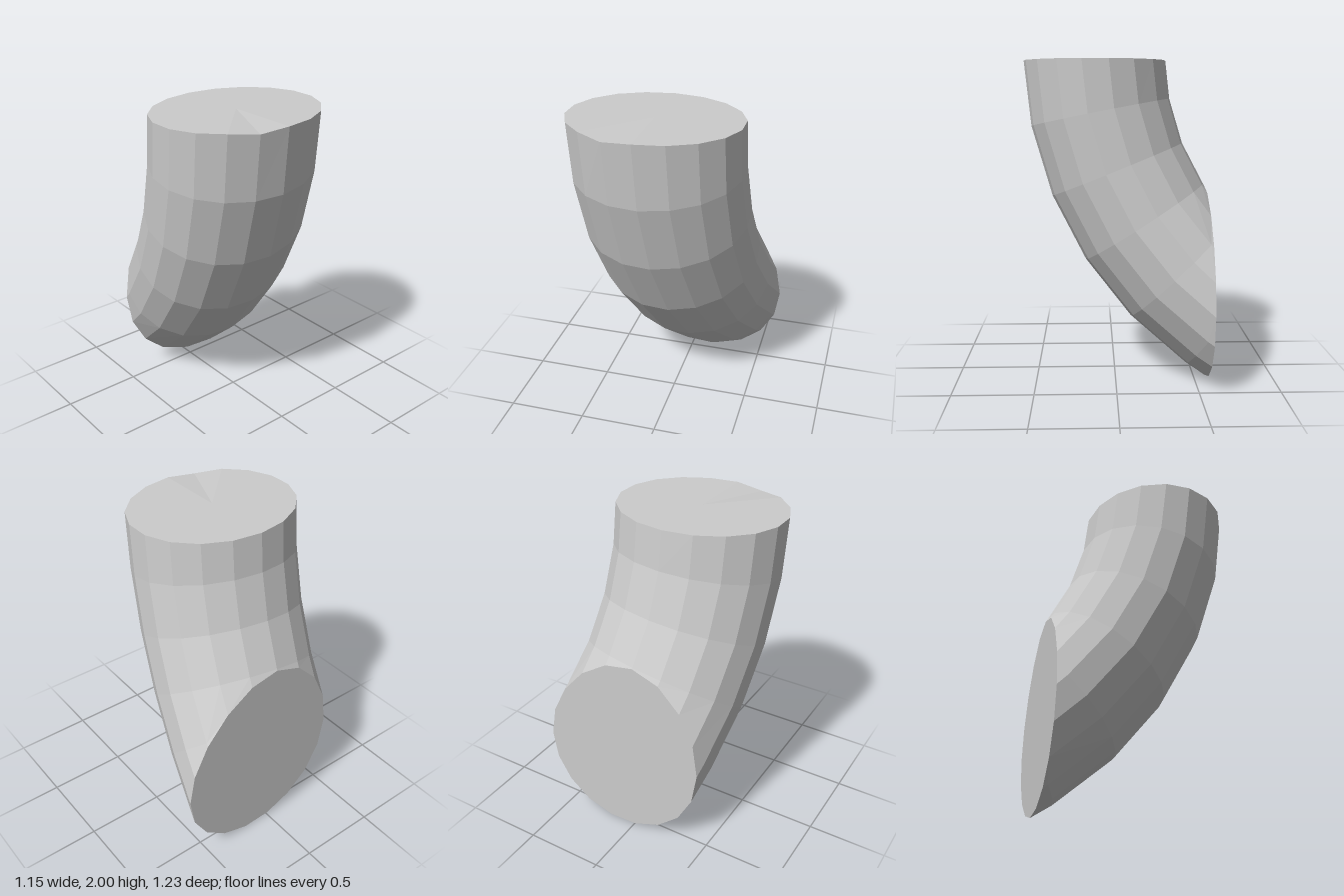
import * as THREE from 'three';

const SIDES = 18, STEP = Math.PI / 16, RINGS = 6;
const TOP = 2, WALL = -0.575;          // planes that trim the two ends
const PIVOT_Y = 2.052, OUTER_R = 2.37; // bend axis height and largest bend radius
const DX = -0.975, DZ = -0.222;        // horizontal direction the pipe bends towards

// Flat-shaded mesh from a list of triangle corners
function facetMesh(name, points) {
  const geometry = new THREE.BufferGeometry().setFromPoints(points);
  geometry.computeVertexNormals();
  const mesh = new THREE.Mesh(geometry,
    new THREE.MeshStandardMaterial({ color: 0xcccccc, flatShading: true }));
  mesh.name = name;
  return mesh;
}

// One lengthwise edge of the pipe: a point of the oval swung around the bend axis
function column(j) {
  const t = (j / SIDES) * Math.PI * 2;
  const x = 0.125 + 0.45 * Math.cos(t), z = 0.08 + 0.535 * Math.sin(t);
  const r = OUTER_R - ((x - 0.575) * DX + (z - 0.08) * DZ);
  const top = j === 1 ? TOP - 0.015 : TOP; // slight dip in the rim
  const start = Math.asin((PIVOT_Y - top) / r);
  const end = Math.acos(1 - (WALL - x) / (DX * r));
  const points = [];
  for (let i = 0; i <= RINGS; i++) {
    const a = i === 0 ? start : i === RINGS ? end : Math.min(i * STEP, end);
    const shift = r * (1 - Math.cos(a));
    points.push(new THREE.Vector3(x + DX * shift, PIVOT_Y - r * Math.sin(a), z + DZ * shift));
  }
  return points;
}

// Fan that closes an end
function cap(name, ring, flip) {
  const centre = ring.reduce((s, p) => s.add(p), new THREE.Vector3()).divideScalar(ring.length);
  if (flip) centre.y = TOP;
  const points = [];
  ring.forEach((p, j) => {
    const q = ring[(j + 1) % ring.length];
    points.push(centre, flip ? q : p, flip ? p : q);
  });
  return facetMesh(name, points);
}

export function createModel() {
  const group = new THREE.Group();
  group.name = 'bentPipe';

  // OUTER_R is measured at the +x edge, so the radius shrinks towards the bend
  const columns = Array.from({ length: SIDES }, (_, j) => columnInward(j));

  // Curved wall
  const wall = [];
  for (let j = 0; j < SIDES; j++) {
    const p = columns[j], q = columns[(j + 1) % SIDES];
    for (let i = 0; i < RINGS; i++) {
      if (q[i].distanceTo(q[i + 1]) > 1e-5) wall.push(p[i], q[i], q[i + 1]);
      if (p[i].distanceTo(p[i + 1]) > 1e-5) wall.push(p[i], q[i + 1], p[i + 1]);
    }
  }
  group.add(facetMesh('pipeWall', wall));

  // Closed ends
  group.add(cap('topEnd', columns.map(c => c[0]), true));
  group.add(cap('sideEnd', columns.map(c => c[RINGS]), false));
  return group;
}

function columnInward(j) {
  return column(j);
}
